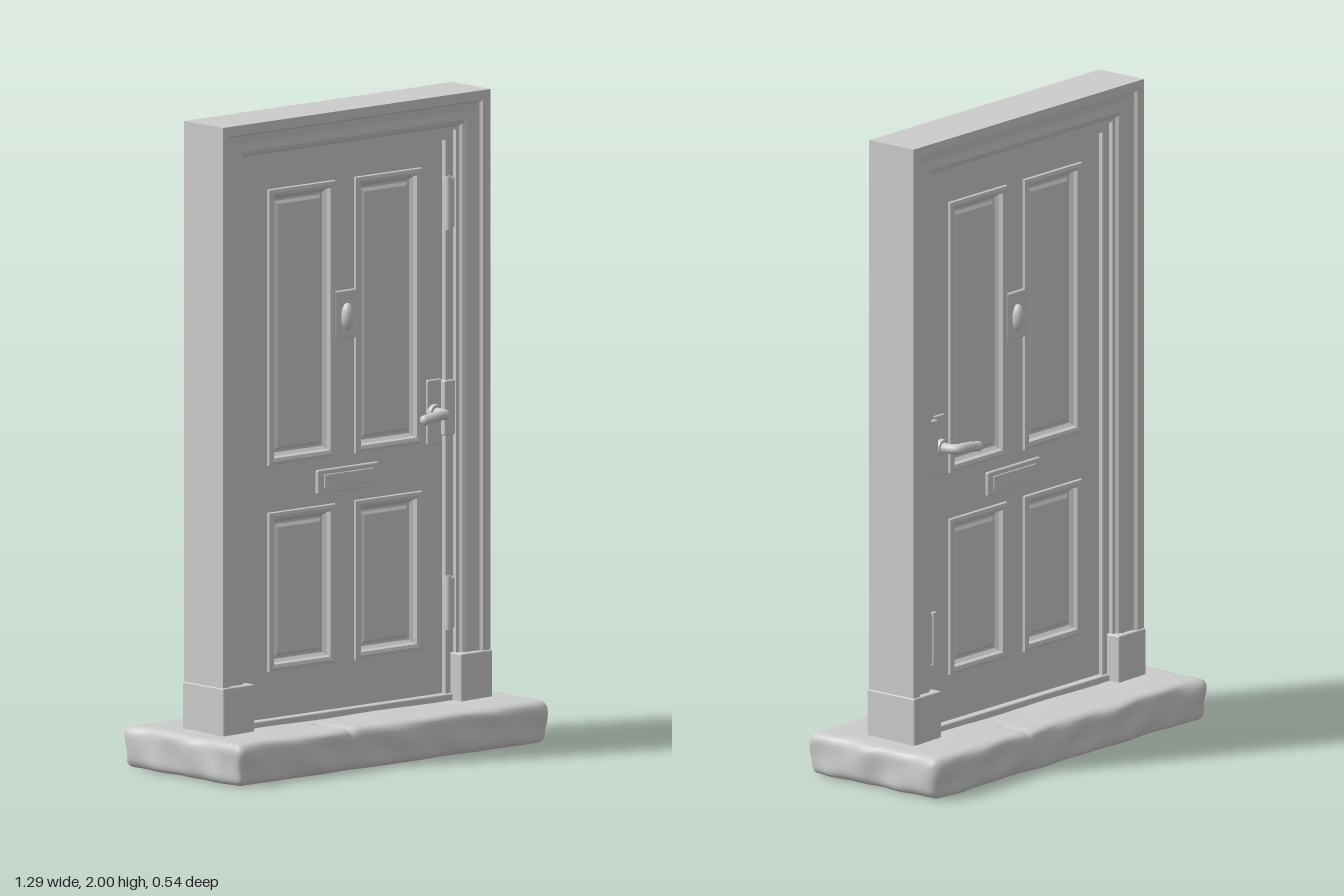
import * as THREE from 'three';
import { mergeVertices } from 'three/addons/utils/BufferGeometryUtils.js';
import { RoundedBoxGeometry } from 'three/addons/geometries/RoundedBoxGeometry.js';

const FACE = 0.03; // half thickness of the door leaf

// Sweep a (inset, z) profile round a rectangle with mitred corners.
function sweepRect(x0, y0, x1, y1, profile, closedPath, closedProfile) {
  const corner = (c, [d, z]) => [
    [x0 + d, closedPath ? y0 + d : y0, z], [x0 + d, y1 - d, z],
    [x1 - d, y1 - d, z], [x1 - d, closedPath ? y0 + d : y0, z],
  ][c % 4];
  const pos = [];
  const n = profile.length;
  for (let c = 0; c < (closedPath ? 4 : 3); c++) {
    for (let i = 0; i < (closedProfile ? n : n - 1); i++) {
      const a = profile[i], b = profile[(i + 1) % n];
      const ap = corner(c, a), bp = corner(c, b), aq = corner(c + 1, a), bq = corner(c + 1, b);
      pos.push(...ap, ...bp, ...bq, ...ap, ...bq, ...aq);
    }
  }
  const g = new THREE.BufferGeometry();
  g.setAttribute('position', new THREE.Float32BufferAttribute(pos, 3));
  g.computeVertexNormals();
  return g;
}

// Rough stone block: rounded box with wavy sides and two cracks.
function stoneGeometry() {
  const hx = 0.638, hy = 0.065, hz = 0.262, r = 0.028;
  let g = new THREE.BoxGeometry(2 * hx, 2 * hy, 2 * hz, 90, 10, 40);
  g.deleteAttribute('uv');
  g.deleteAttribute('normal');
  g = mergeVertices(g);
  const p = g.attributes.position;
  const v = new THREE.Vector3(), q = new THREE.Vector3();
  const clamp = THREE.MathUtils.clamp;
  for (let i = 0; i < p.count; i++) {
    v.fromBufferAttribute(p, i);
    q.set(clamp(v.x, r - hx, hx - r), clamp(v.y, r - hy, hy - r), clamp(v.z, r - hz, hz - r));
    v.sub(q).setLength(r).add(q);
    const { x, y, z } = v;
    const wave = Math.sin(x * 17 + z * 3) + 0.7 * Math.sin(x * 31 + y * 40) + 0.5 * Math.sin(y * 70 + x * 11);
    v.z += Math.sign(z) * 0.0045 * wave * Math.pow(Math.abs(z) / hz, 6);
    v.x += Math.sign(x) * 0.004 * (Math.sin(z * 24 + y * 30) + Math.sin(z * 47)) * Math.pow(Math.abs(x) / hx, 10);
    if (y > 0.03) {
      const front = z > 0.1 ? Math.exp(-(((x + 0.17 - 0.1 * (z - 0.2)) / 0.012) ** 2)) : 0;
      const back = z < -0.14 ? Math.exp(-(((x - 0.2) / 0.01) ** 2)) : 0;
      v.y -= 0.01 * (front + 0.6 * back);
      v.y += 0.0015 * Math.sin(x * 14) * Math.sin(z * 16);
    }
    p.setXYZ(i, v.x, v.y + hy, v.z);
  }
  g.computeVertexNormals();
  return g;
}

export function createModel() {
  const model = new THREE.Group();
  const stone = new THREE.MeshStandardMaterial({ color: 0xcccccc });
  stone.name = 'plain grey';

  function add(parent, name, geometry, x = 0, y = 0, z = 0) {
    const mesh = new THREE.Mesh(geometry, stone);
    mesh.name = name;
    mesh.position.set(x, y, z);
    parent.add(mesh);
    return mesh;
  }
  const box = (w, h, d, r = 0.005) => new RoundedBoxGeometry(w, h, d, 2, r);

  add(model, 'doorstep', stoneGeometry());

  // Moulded casing, jamb and door stop in one profile, front then back
  const half = [[0, 0.088], [0.03, 0.088], [0.036, 0.078], [0.06, 0.074], [0.085, 0.076],
    [0.098, 0.07], [0.104, 0.06], [0.115, 0.06], [0.115, 0.045], [0.145, 0.045]];
  const casing = [...half, ...half.slice().reverse().map(([d, z]) => [d, -z])];
  add(model, 'doorFrame', sweepRect(-0.545, 0.1, 0.545, 2, casing, false, true));

  // Plinth blocks at the feet of the frame
  for (const s of [-1, 1]) add(model, 'plinthBlock', box(0.128, 0.165, 0.188), s * 0.484, 0.193, 0);
  add(model, 'threshold', box(0.85, 0.04, 0.11), 0, 0.13, 0);

  // Door leaf with four panel openings
  const panels = [];
  for (const s of [-1, 1]) {
    for (const [y0, y1] of [[0.3, 0.775], [0.935, 1.77]]) {
      panels.push([s < 0 ? -0.305 : 0.048, y0, s < 0 ? -0.048 : 0.305, y1]);
    }
  }
  const rect = (T, x0, y0, x1, y1) => new T([[x0, y0], [x1, y0], [x1, y1], [x0, y1]].map((a) => new THREE.Vector2(...a)));
  const leaf = rect(THREE.Shape, -0.405, 0.14, 0.405, 1.865);
  for (const p of panels) leaf.holes.push(rect(THREE.Path, ...p));
  add(model, 'doorLeaf', new THREE.ExtrudeGeometry(leaf, { depth: 2 * FACE, bevelEnabled: false }), 0, 0, -FACE);

  // Panel moulding, sunk groove and raised field
  const moulding = [[-0.008, FACE], [-0.006, FACE + 0.008], [0.004, FACE + 0.011], [0.014, FACE + 0.007],
    [0.018, FACE - 0.006], [0.027, FACE - 0.016], [0.034, FACE - 0.016], [0.044, FACE - 0.01]];

  const leverPath = new THREE.CatmullRomCurve3([
    [0.358, 1.02, FACE], [0.358, 1.02, 0.075], [0.348, 1.021, 0.1], [0.32, 1.022, 0.106], [0.262, 1.014, 0.106],
  ].map((a) => new THREE.Vector3(...a)));

  // Fittings of one side; the second side is turned round with x mirrored
  for (const s of [1, -1]) {
    const side = new THREE.Group();
    side.name = s > 0 ? 'frontFittings' : 'backFittings';
    if (s < 0) side.rotation.y = Math.PI;
    model.add(side);

    for (const [x0, y0, x1, y1] of panels) {
      add(side, 'panelMoulding', sweepRect(x0, y0, x1, y1, moulding, true, false));
      const field = new THREE.PlaneGeometry(x1 - x0 - 0.088, y1 - y0 - 0.088);
      add(side, 'panelField', field, (x0 + x1) / 2, (y0 + y1) / 2, FACE - 0.01);
    }

    // Knocker
    add(side, 'knockerPlate', box(0.088, 0.15, 0.02), 0, 1.36, FACE);
    const knob = add(side, 'knocker', new THREE.SphereGeometry(1, 20, 14), 0, 1.355, FACE + 0.016);
    knob.scale.set(0.021, 0.042, 0.02);

    // Letter plate with its flap
    add(side, 'letterPlate', box(0.25, 0.075, 0.02), s * 0.01, 0.855, FACE);
    add(side, 'letterFlap', box(0.2, 0.045, 0.01, 0.003), s * 0.01, 0.855, FACE + 0.009);

    // Lever handle with plate and strike
    add(side, 'handlePlate', box(0.06, 0.2, 0.016), s * 0.363, 1.02, FACE);
    add(side, 'strikePlate', box(0.045, 0.17, 0.03), s * 0.41, 1.03, 0.04);
    const lever = new THREE.CatmullRomCurve3(leverPath.points.map((v) => new THREE.Vector3(s * v.x, v.y, v.z)));
    add(side, 'lever', new THREE.TubeGeometry(lever, 28, 0.016, 12));
    const end = leverPath.points[4];
    add(side, 'leverEnd', new THREE.SphereGeometry(0.016, 14, 10), s * end.x, end.y, end.z);
    const collar = add(side, 'leverCollar', new THREE.CylinderGeometry(0.024, 0.026, 0.02, 20), s * 0.358, 1.02, FACE + 0.012);
    collar.rotation.x = Math.PI / 2;

    // Hinges
    for (const y of s > 0 ? [0.43, 1.66] : [0.43]) {
      add(side, 'hingeLeaf', box(0.036, 0.155, 0.02), s * 0.417, y, 0.042);
      add(side, 'hingePin', new THREE.CylinderGeometry(0.009, 0.009, 0.165, 12), s * 0.406, y, 0.05);
    }
  }
  return model;
}
